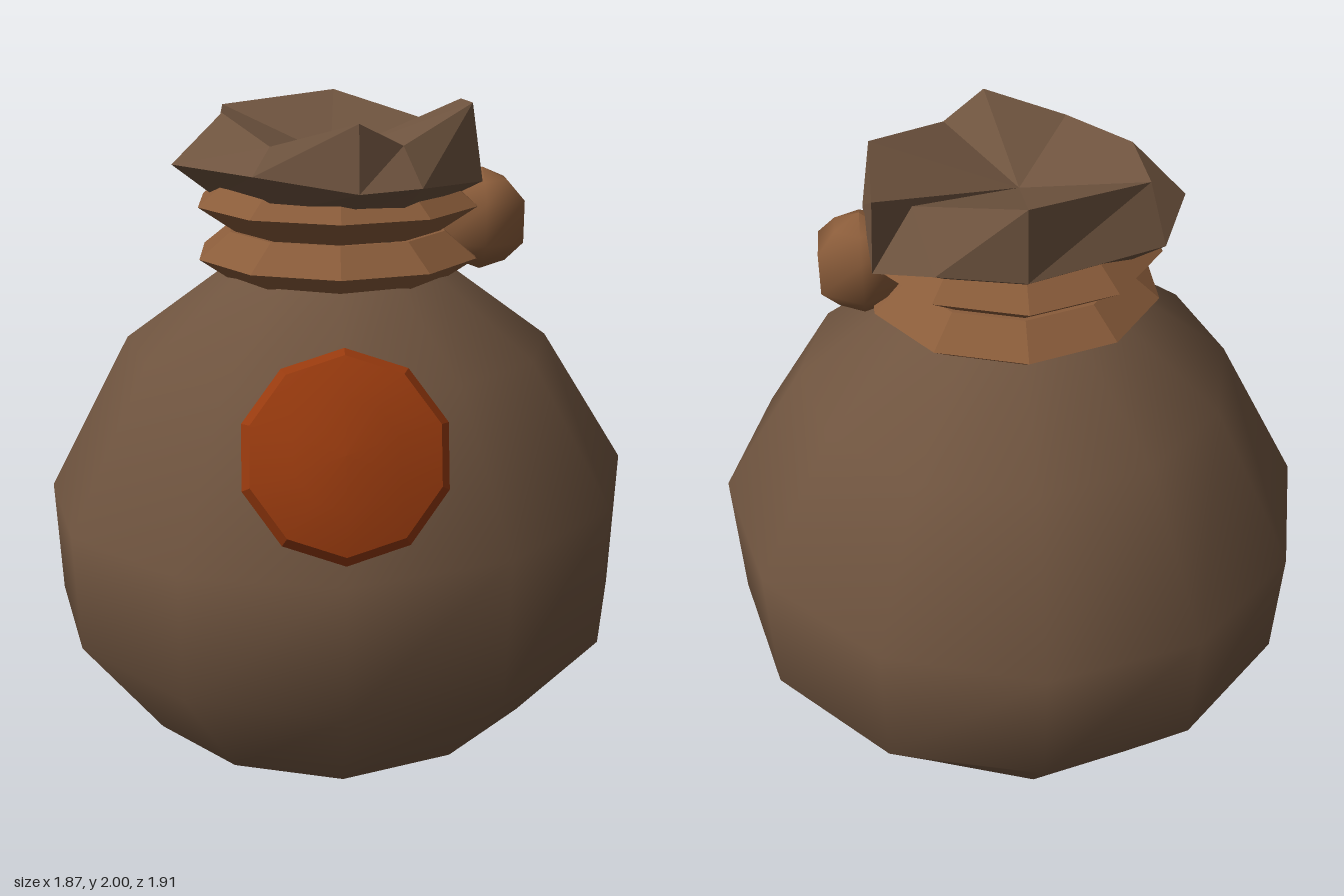
import * as THREE from 'three';

const material = (name, color, extra = {}) => {
  const m = new THREE.MeshStandardMaterial({ color, ...extra });
  m.name = name;
  return m;
};

// Skin between closed rings of [x, y, z] points, listed bottom to top
function loft(rings, flat) {
  const n = rings[0].length;
  const index = [];
  for (let i = 0; i < rings.length - 1; i++) {
    for (let j = 0; j < n; j++) {
      const k = (j + 1) % n;
      const a = i * n + j, b = i * n + k, c = b + n, d = a + n;
      index.push(a, b, c, a, c, d);
    }
  }
  let g = new THREE.BufferGeometry();
  g.setAttribute('position', new THREE.Float32BufferAttribute(rings.flat(2), 3));
  g.setIndex(index);
  if (flat) g = g.toNonIndexed();
  g.computeVertexNormals();
  return g;
}

// Ring of n points; the radius and height may vary by angle (0 = front, then towards +x)
function ring(n, r, y, shape = (t, p) => p) {
  return Array.from({ length: n }, (_, j) => {
    const t = (j / n) * Math.PI * 2;
    return shape(t, [r * Math.sin(t), y, r * Math.cos(t)]);
  });
}

export function createModel() {
  const group = new THREE.Group();
  const cloth = material('brown cloth', 0x6f543f);
  const rope = material('tan rope', 0x8a5c3a);
  const wax = material('orange wax', 0x983a0e);
  const add = (name, geometry, mat, parent = group) => {
    const m = new THREE.Mesh(geometry, mat);
    m.name = name;
    parent.add(m);
    return m;
  };

  // Plump sack body, slightly lopsided
  const lean = (t, [x, y, z]) => [x, y + 0.04 * Math.sin(t) * (y > 0.6 && y < 1 ? 1 : 0), z - 0.015];
  const foot = ring(12, 0.66, 0.05, (t, [x, y, z]) =>
    [x, y + 0.05 * Math.max(0, Math.sin(t)) - 0.02 * Math.max(0, -Math.cos(t)), z]);
  add('sackBody', loft([
    foot,
    ring(12, 0.92, 0.39, lean),
    ring(12, 0.935, 0.8, lean),
    ring(12, 0.67, 1.26, lean),
    ring(12, 0.37, 1.48),
    ring(12, 0.28, 1.54),
  ]), cloth);
  add('sackBase', loft([ring(12, 0, 0), foot], true), cloth);

  // Two sharp-edged turns of rope round the neck
  for (const y of [1.54, 1.7]) {
    add('neckRope', loft([
      ring(10, 0.33, y - 0.08), ring(10, 0.445, y),
      ring(10, 0.345, y + 0.08), ring(10, 0.25, y + 0.08),
    ], true), rope);
  }

  // Rope knot on the left side
  const knot = add('ropeKnot', loft([
    ring(6, 0, -0.16), ring(6, 0.085, -0.125), ring(6, 0.145, -0.065),
    ring(6, 0.145, 0.065), ring(6, 0.085, 0.125), ring(6, 0, 0.16),
  ]), rope);
  knot.position.set(0.45, 1.64, 0);

  // Gathered cloth mouth: flared fold, jagged rim and sunken middle
  const fold = [
    [-0.25, 1.83, 0.4], [0.05, 1.79, 0.47], [0.23, 1.8, 0.43],
    [0.44, 1.77, 0.1], [0.42, 1.76, -0.28], [0.25, 1.78, -0.35],
    [0, 1.78, -0.41], [-0.4, 1.8, -0.28], [-0.51, 1.81, 0],
  ];
  const rim = [
    [-0.2, 1.91, 0.36], [0.05, 1.98, 0.42], [0.18, 1.91, 0.35],
    [0.41, 2, 0.05], [0.41, 1.98, -0.28], [0.3, 1.92, -0.2],
    [0, 2, -0.4], [-0.36, 1.97, -0.22], [-0.35, 1.97, 0.03],
  ];
  const hem = fold.map(([x, , z]) => [x * 0.74, 1.71, z * 0.74]);
  const neck = fold.map(([x, , z]) => [x * 0.6, 1.55, z * 0.6]);
  const middle = rim.map(() => [-0.02, 1.84, 0.03]);
  add('clothMouth', loft([neck, hem, fold, rim, middle], true), cloth);

  // Wax seal: faceted disc with a softly domed face, tilted to the cloth
  const seal = new THREE.Group();
  seal.name = 'waxSeal';
  add('sealDisc', loft([
    ring(10, 0, -0.05), ring(10, 0.27, -0.05), ring(10, 0.295, 0.0), ring(10, 0.27, 0.05),
  ], true), wax, seal);
  add('sealFace', loft([
    ring(10, 0.27, 0.05), ring(10, 0.15, 0.085), ring(10, 0, 0.09),
  ]), wax, seal);
  seal.position.set(0, 1.14, 0.815);
  seal.rotation.x = Math.PI / 2 - 0.37;
  group.add(seal);

  return group;
}
